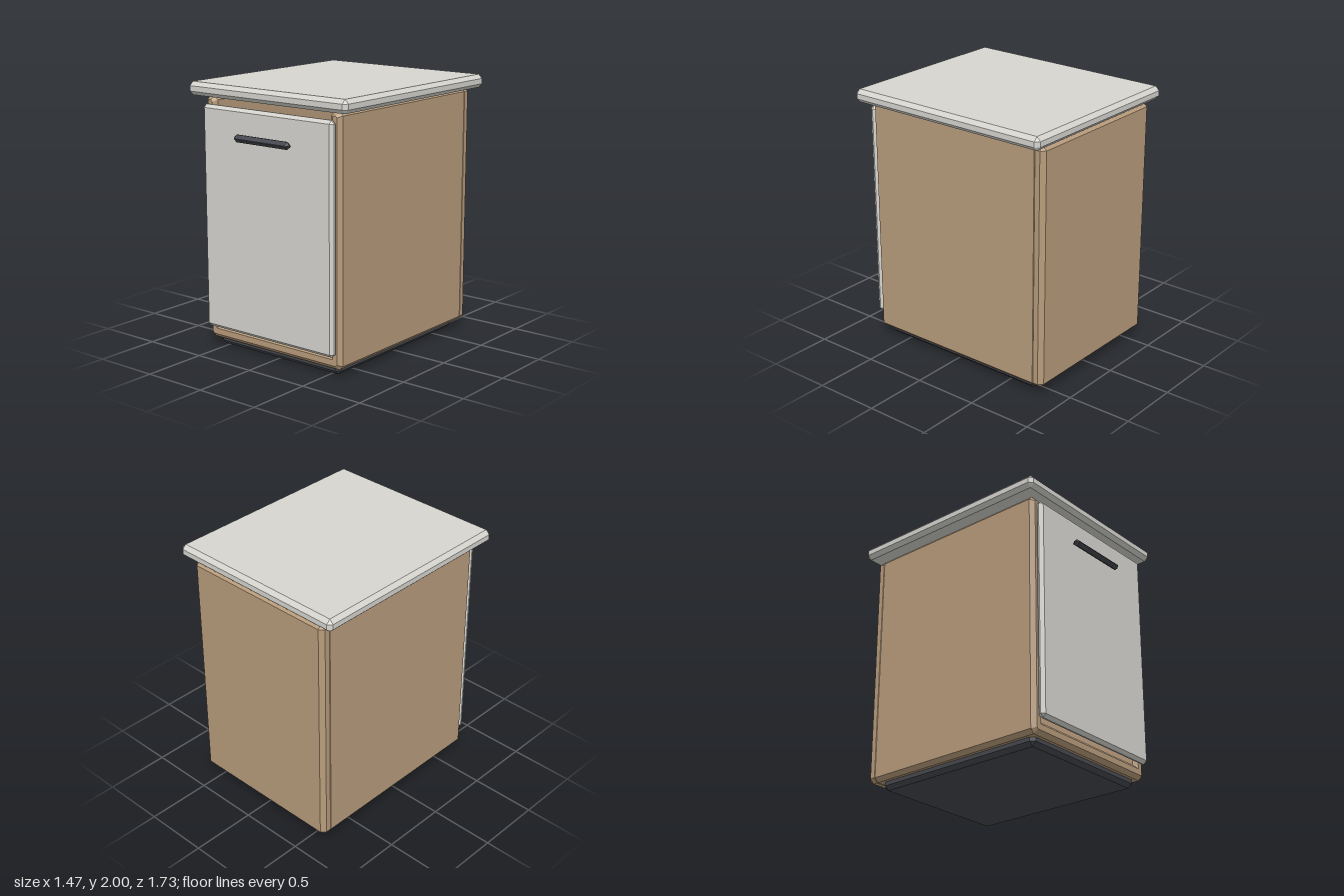
import * as THREE from 'three';
import { ConvexGeometry } from 'three/addons/geometries/ConvexGeometry.js';

const mat = (color) => new THREE.MeshStandardMaterial({ color, flatShading: true });

// Box between two corners with every edge chamfered by c
function chamferBox(name, [x0, y0, z0], [x1, y1, z1], c, material) {
  const half = new THREE.Vector3(x1 - x0, y1 - y0, z1 - z0).multiplyScalar(0.5);
  const points = [];
  for (const sx of [-1, 1]) for (const sy of [-1, 1]) for (const sz of [-1, 1]) {
    for (const axis of ['x', 'y', 'z']) {
      const p = half.clone().subScalar(c);
      p[axis] = half[axis];
      points.push(p.multiply(new THREE.Vector3(sx, sy, sz)));
    }
  }
  const mesh = new THREE.Mesh(new ConvexGeometry(points), material);
  mesh.name = name;
  mesh.position.set((x0 + x1) / 2, (y0 + y1) / 2, (z0 + z1) / 2);
  return mesh;
}

// Sides and floor as one U-shaped frame, chamfered front and rear
function carcass(material) {
  const c = 0.03, right = [
    [0.6, 0.06], [0.63, 0.09], [0.63, 1.87], [0.6, 1.9],
    [0.56, 1.9], [0.53, 1.87], [0.53, 0.165],
  ];
  const left = right.map(([x, y]) => [-x, y]).reverse();
  const shape = new THREE.Shape([...right, ...left].map(([x, y]) => new THREE.Vector2(x, y)));
  const z0 = -0.785, z1 = 0.745;
  const geometry = new THREE.ExtrudeGeometry(shape, {
    depth: z1 - z0 - 2 * c, bevelEnabled: true, bevelSegments: 1,
    bevelThickness: c, bevelSize: c, bevelOffset: -c,
  });
  geometry.translate(0, 0, z0 + c);
  const mesh = new THREE.Mesh(geometry, material);
  mesh.name = 'carcass';
  return mesh;
}

export function createModel() {
  const wood = mat(0xb89c7c), pale = mat(0xd6d5d0), dark = mat(0x46494f);
  const model = new THREE.Group();
  model.name = 'cabinet';
  model.add(
    chamferBox('plinth', [-0.575, 0, -0.73], [0.575, 0.09, 0.69], 0.03, dark),
    carcass(wood),
    chamferBox('backPanel', [-0.63, 0.06, -0.835], [0.63, 1.9, -0.73], 0.032, wood),
    chamferBox('countertop', [-0.735, 1.9, -0.865], [0.735, 2, 0.82], 0.03, pale),
    chamferBox('door', [-0.605, 0.165, 0.745], [0.605, 1.845, 0.805], 0.024, pale),
    chamferBox('handle', [-0.26, 1.61, 0.807], [0.26, 1.665, 0.865], 0.025, dark),
  );
  return model;
}
